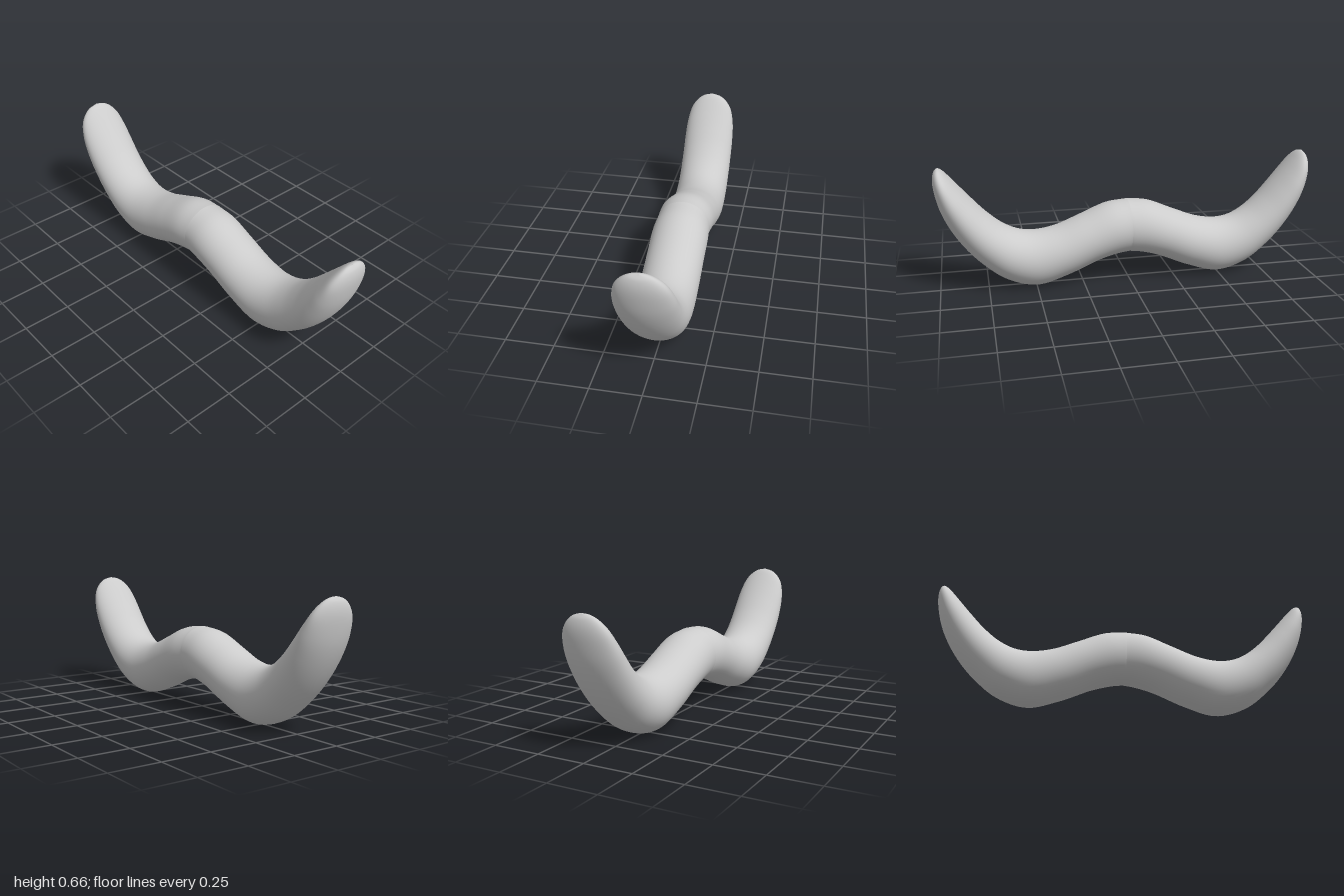
import * as THREE from 'three';

const SIDES = 48, RINGS = 96;

// Section stations from the middle to the tip: upper edge x, y, lower edge x, y, half depth
const stations = [
  [0, 0.437, 0, 0.153, 0.142],
  [0.11, 0.424, 0.06, 0.145, 0.148],
  [0.25, 0.368, 0.16, 0.118, 0.148],
  [0.39, 0.314, 0.33, 0.047, 0.148],
  [0.5, 0.298, 0.5, 0.002, 0.148],
  [0.58, 0.308, 0.66, 0.05, 0.148],
  [0.66, 0.346, 0.78, 0.145, 0.148],
  [0.74, 0.412, 0.86, 0.235, 0.148],
  [0.81, 0.487, 0.925, 0.335, 0.147],
  [0.87, 0.556, 0.97, 0.435, 0.14],
  [0.92, 0.614, 0.994, 0.53, 0.119],
  [0.945, 0.641, 1.0, 0.59, 0.088],
  [0.962, 0.654, 0.994, 0.632, 0.052],
  [0.978, 0.658, 0.978, 0.658, 0],
];

// One half: elliptical sections lofted between the upper and lower edge curves
function halfGeometry(side) {
  const upper = new THREE.CatmullRomCurve3(stations.map(s => new THREE.Vector3(s[0], s[1], s[4])));
  const lower = new THREE.CatmullRomCurve3(stations.map(s => new THREE.Vector3(s[2], s[3], s[4])));
  const positions = [], index = [];
  for (let i = 0; i <= RINGS; i++) {
    const t = 1 - (1 - i / RINGS) ** 1.2;
    const a = upper.getPoint(t), b = lower.getPoint(t);
    const depth = Math.max(0, (a.z + b.z) / 2);
    for (let j = 0; j < SIDES; j++) {
      const angle = (j / SIDES) * Math.PI * 2, c = Math.cos(angle) / 2;
      positions.push(
        side * ((a.x + b.x) / 2 + c * (a.x - b.x)),
        (a.y + b.y) / 2 + c * (a.y - b.y),
        depth * Math.sin(angle));
      if (i === RINGS) continue;
      const p = i * SIDES + j, q = i * SIDES + (j + 1) % SIDES;
      const r = p + SIDES, s = q + SIDES;
      if (side > 0) index.push(p, q, r, q, s, r);
      else index.push(p, r, q, q, r, s);
    }
  }
  const geometry = new THREE.BufferGeometry();
  geometry.setAttribute('position', new THREE.Float32BufferAttribute(positions, 3));
  geometry.setIndex(index);
  geometry.computeVertexNormals();
  return geometry;
}

export function createModel() {
  const group = new THREE.Group();
  group.name = 'moustache';
  const grey = new THREE.MeshStandardMaterial({ color: 0xcccccc });
  grey.name = 'light grey';
  // Mirrored halves meet at a slight crease in the middle
  for (const [name, side] of [['leftHalf', 1], ['rightHalf', -1]]) {
    const mesh = new THREE.Mesh(halfGeometry(side), grey);
    mesh.name = name;
    group.add(mesh);
  }
  return group;
}
